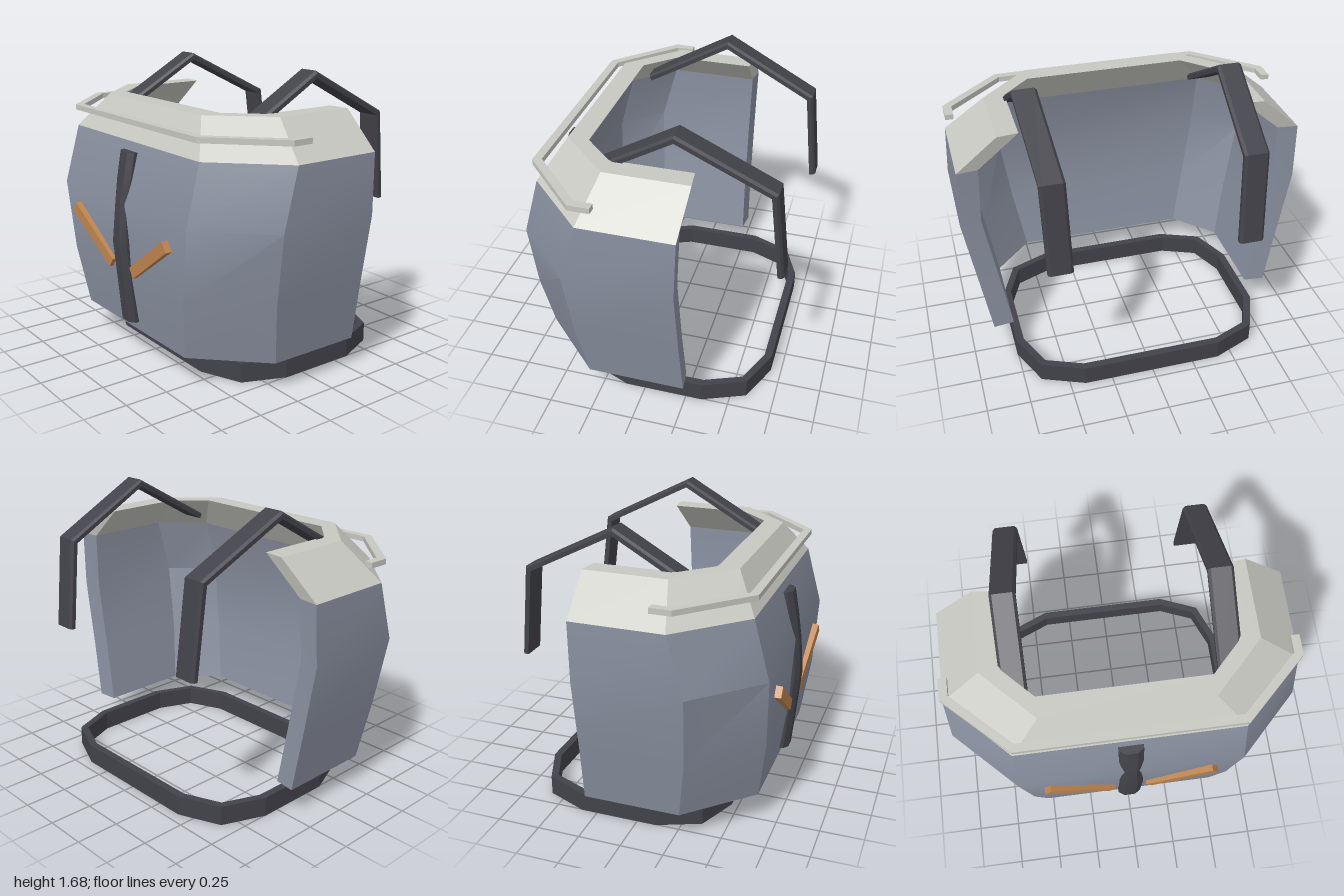
import * as THREE from 'three';
import { toCreasedNormals } from 'three/addons/utils/BufferGeometryUtils.js';

const mat = (color) => new THREE.MeshStandardMaterial({ color });
const MAT = { plate: mat(0x8a90a0), collar: mat(0xc8c8c2), dark: mat(0x42424a), bronze: mat(0xc08550) };

// Solid through equal-sized rings of [x, y, z]; the ends are capped unless the loop is closed.
function loft(rings, closed = false, crease = 0.35) {
  const tris = [];
  const quad = (a, b, c, d) => tris.push(a, b, c, a, c, d);
  const n = rings[0].length, m = rings.length;
  for (let i = 0; i < (closed ? m : m - 1); i++) {
    const A = rings[i], B = rings[(i + 1) % m];
    for (let j = 0; j < n; j++) {
      const k = (j + 1) % n;
      quad(A[j], B[j], B[k], A[k]);
    }
  }
  if (!closed) {
    const S = rings[0], E = rings[m - 1];
    for (let j = 0; j < n / 2 - 1; j++) {
      quad(S[j], S[j + 1], S[n - 2 - j], S[n - 1 - j]);
      quad(E[n - 1 - j], E[n - 2 - j], E[j + 1], E[j]);
    }
  }
  // Turn the faces outward by the sign of the volume
  let volume = 0;
  const [a, b, c] = [0, 1, 2].map(() => new THREE.Vector3());
  for (let i = 0; i < tris.length; i += 3) {
    a.fromArray(tris[i]); b.fromArray(tris[i + 1]); c.fromArray(tris[i + 2]);
    volume += a.dot(b.cross(c));
  }
  if (volume < 0) tris.reverse();
  const g = new THREE.BufferGeometry();
  g.setAttribute('position', new THREE.Float32BufferAttribute(tris.flat(), 3));
  return toCreasedNormals(g, crease);
}

// Mitred side vectors along an open 2D path
function mitres(path) {
  const pts = path.map(([x, y]) => new THREE.Vector2(x, y));
  const normal = (i) => {
    const d = pts[i + 1].clone().sub(pts[i]).normalize();
    return new THREE.Vector2(-d.y, d.x);
  };
  return pts.map((p, i) => {
    const n0 = normal(Math.max(i - 1, 0)), n1 = normal(Math.min(i, pts.length - 2));
    const s = n0.clone().add(n1).normalize();
    return s.divideScalar(s.dot(n0));
  });
}

// Levels of the wrap: y, side x, front corner x, front z, side corner z, back z
const LEVELS = [
  [0.18, 0.87, 0.525, 0.645, 0.295, -0.265],
  [0.53, 0.93, 0.59, 0.695, 0.343, -0.255],
  [0.94, 1.0, 0.65, 0.712, 0.365, -0.25],
  [1.28, 0.99, 0.64, 0.62, 0.27, -0.26],
  [1.48, 0.76, 0.475, 0.49, 0.2, -0.275],
];

// Open-backed wall, lofted around its plan from one back end to the other
function wrap(levels) {
  const wall = 0.12;
  const station = (i, [y, sx, fx, fz, sz, bz], t) => {
    const side = i < 3 ? -1 : 1, k = Math.min(i, 5 - i);
    const [x, z] = [[sx - t, bz + t * 0.12], [sx - t, sz], [fx, fz - t]][k];
    return [side * x, y, z];
  };
  return loft([0, 1, 2, 3, 4, 5].map((i) => [
    ...levels.map((l) => station(i, l, 0)),
    ...[...levels].reverse().map((l) => station(i, l, wall)),
  ]));
}

export function createModel() {
  const model = new THREE.Group();
  const add = (name, geometry, material) => {
    const mesh = new THREE.Mesh(geometry, material);
    mesh.name = name;
    model.add(mesh);
    return mesh;
  };

  // Chest plate and its sloping collar
  add('chestPlate', wrap(LEVELS.slice(0, 4)), MAT.plate);
  add('collar', wrap(LEVELS.slice(3)), MAT.collar);

  // Thin rail running round the collar
  const railPath = [[-0.963, 0.18], [-0.963, 0.29], [-0.625, 0.612], [0.625, 0.612], [0.963, 0.29], [0.963, 0.18]];
  const railSide = mitres(railPath);
  add('collarRail', loft(railPath.map(([x, z], i) =>
    [[-1, 1.377], [1, 1.377], [1, 1.408], [-1, 1.408]].map(([s, y]) =>
      [x + railSide[i].x * s * 0.024, y, z + railSide[i].y * s * 0.024]))), MAT.collar);

  // Bevelled spine with a narrow waist: y, half width, front z
  const spine = [[0.235, 0.07, 0.7], [0.72, 0.07, 0.747], [0.94, 0.05, 0.73], [1.08, 0.07, 0.707], [1.23, 0.07, 0.68]];
  add('centreSpine', loft(spine.map(([y, w, z]) => [
    [-w, y, z - 0.06], [-w, y, z - 0.025], [-w / 2, y, z],
    [w / 2, y, z], [w, y, z - 0.025], [w, y, z - 0.06],
  ]), false, 0.2), MAT.dark);

  // Belt: rounded rectangle with three-point corners
  const belt = [];
  for (let q = 0; q < 4; q++) {
    for (let k = 0; k < 3; k++) {
      const a = (q * 2 + k) * Math.PI / 4;
      const cx = q === 0 || q === 3 ? 0.41 : -0.41;
      const cz = q < 2 ? 0.115 : -0.345;
      belt.push([[0.345, 0], [0.345, 0.115], [0.3, 0.115], [0.3, 0]].map(([r, y]) =>
        [cx + r * Math.cos(a), y, cz + r * Math.sin(a)]));
    }
  }
  add('belt', loft(belt, true), MAT.dark);

  // Shoulder straps: path in z and y, with the centre x at each bend
  const strapPath = [[0.34, 1.378], [-0.15, 1.658], [-0.672, 1.393], [-0.73, 0.875]];
  const strapX = [0.585, 0.58, 0.55, 0.537];
  const strapUp = mitres(strapPath);
  const section = [[-0.07, -0.018], [-0.07, 0.006], [-0.055, 0.018], [0.055, 0.018], [0.07, 0.006], [0.07, -0.018]];

  for (const side of [1, -1]) {
    const label = side > 0 ? 'left' : 'right';
    add(label + 'ShoulderStrap', loft(strapPath.map(([z, y], i) => section.map(([w, h]) =>
      [side * (strapX[i] + w), y - strapUp[i].y * h, z - strapUp[i].x * h])), false, 0.3), MAT.dark);

    // Slanted bar beside the spine
    const from = new THREE.Vector3(side * 0.112, 0.56, 0.702);
    const to = new THREE.Vector3(side * 0.492, 0.818, 0.727);
    const bar = add(label + 'ChestBar', new THREE.BoxGeometry(0.066, from.distanceTo(to), 0.038), MAT.bronze);
    bar.position.lerpVectors(from, to, 0.5);
    const up = to.clone().sub(from).normalize();
    const out = new THREE.Vector3(0, 0, 1).addScaledVector(up, -up.z).normalize();
    bar.quaternion.setFromRotationMatrix(new THREE.Matrix4().makeBasis(up.clone().cross(out), up, out));
  }
  return model;
}
